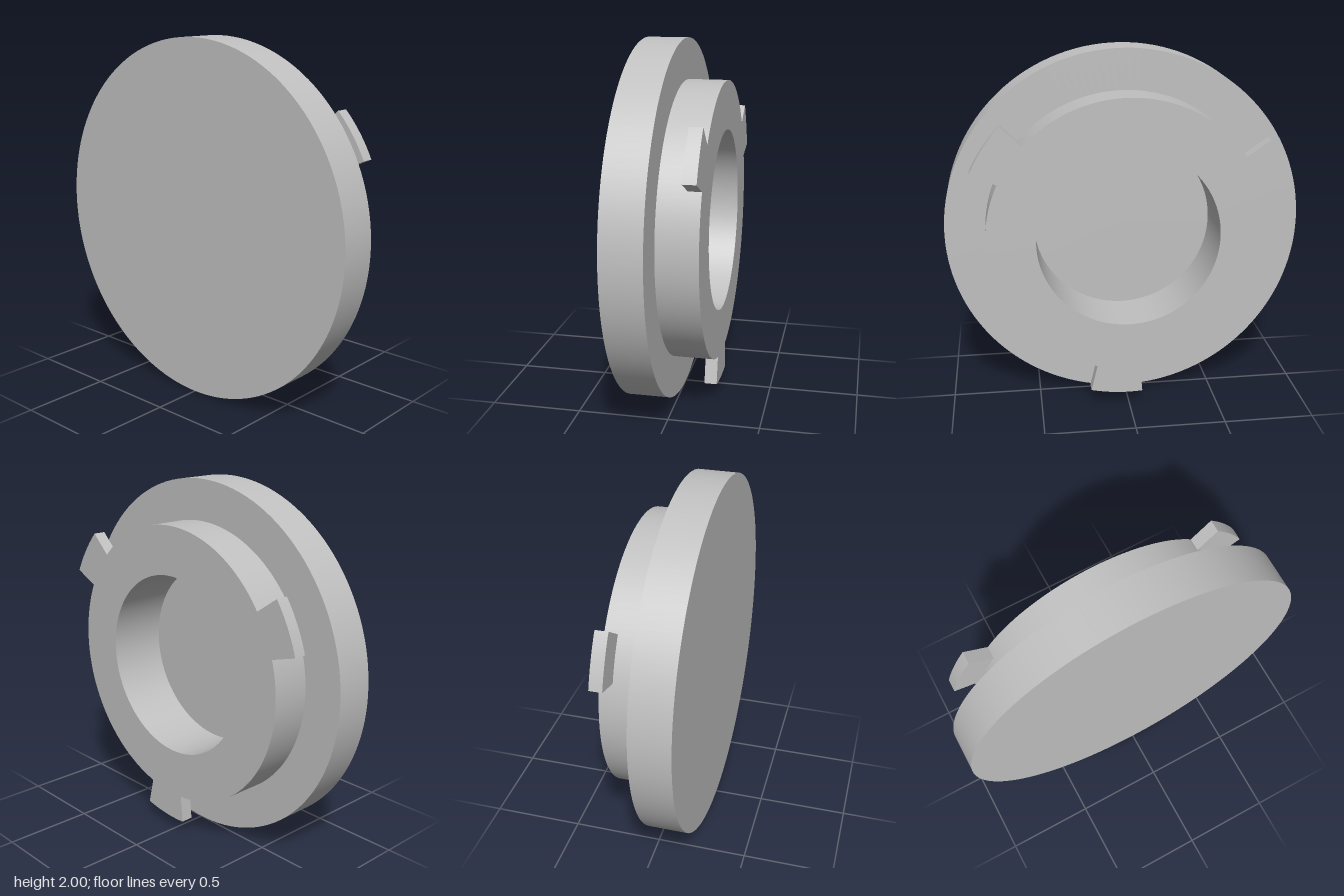
import * as THREE from 'three';
import { mergeGeometries } from 'three/addons/utils/BufferGeometryUtils.js';

export function createModel() {
  const group = new THREE.Group();
  group.name = 'bayonetCap';
  const grey = new THREE.MeshStandardMaterial({ color: 0xc0c0c0 });
  grey.name = 'grey';

  const add = (name, geometry) => {
    const mesh = new THREE.Mesh(geometry, grey);
    mesh.name = name;
    mesh.position.y = 1;
    group.add(mesh);
  };

  // Turn a (radius, z) profile about the z axis, one band per edge so corners stay sharp
  const turn = (profile) => mergeGeometries(profile.slice(1).map((p, i) =>
    new THREE.LatheGeometry(
      [new THREE.Vector2(...profile[i]), new THREE.Vector2(...p)], 128
    ).rotateX(Math.PI / 2)));

  // Wide front disc
  add('frontDisc', turn([[0.775, 0], [1, 0], [1, 0.22], [0, 0.22]]));

  // Raised rear collar with its blind bore, which runs on into the disc
  add('rearCollar', turn([[0, 0.11], [0.505, 0.11], [0.505, -0.22], [0.775, -0.22], [0.775, 0]]));

  // Three locking lugs with radial sides at the back edge of the collar
  const inner = 0.77, outer = 0.93;
  const halfAngle = THREE.MathUtils.degToRad(9.1);
  const lug = new THREE.Shape();
  lug.absarc(0, 0, outer, -halfAngle, halfAngle, false);
  lug.absarc(0, 0, inner, halfAngle, -halfAngle, true);
  lug.closePath();
  for (let i = 0; i < 3; i++) {
    const geometry = new THREE.ExtrudeGeometry(lug, { depth: 0.07, bevelEnabled: false, curveSegments: 12 });
    geometry.translate(0, 0, -0.22);
    geometry.rotateZ(THREE.MathUtils.degToRad(34.4 + i * 120));
    add('lockingLug' + (i + 1), geometry);
  }

  return group;
}
